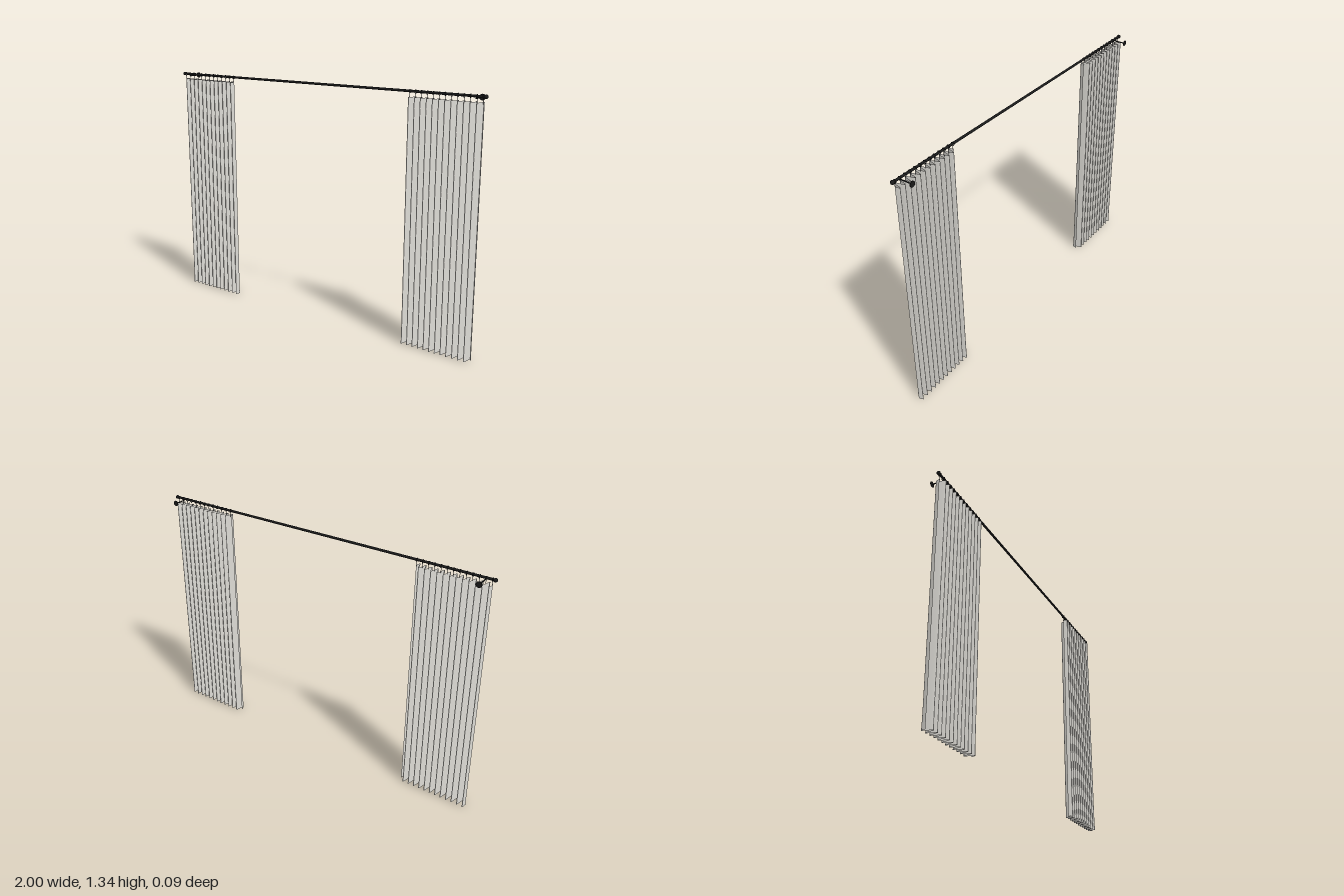
import * as THREE from 'three';

const ROD_Y = 1.325, ROD_Z = 0.021;
const INNER = 0.584, OUTER = 0.979, TOP = 1.297, FOLDS = 12;

export function createModel() {
  const fabric = new THREE.MeshStandardMaterial({ color: 0xdedcd6, side: THREE.DoubleSide });
  fabric.name = 'linen fabric';
  const metal = new THREE.MeshStandardMaterial({ color: 0x1a1a1a });
  metal.name = 'black metal';

  const model = new THREE.Group();
  model.name = 'curtains';

  function add(parent, name, geometry, material, x, y, z) {
    const mesh = new THREE.Mesh(geometry, material);
    mesh.name = name;
    mesh.position.set(x, y, z);
    parent.add(mesh);
    return mesh;
  }

  // Pleated sheet: a plane bent into a wave, flaring slightly at the hem
  function curtainGeometry(side) {
    const width = OUTER - INNER;
    const g = new THREE.PlaneGeometry(width, TOP, FOLDS * 16, 26);
    const p = g.attributes.position;
    for (let i = 0; i < p.count; i++) {
      const u = p.getX(i) / width + 0.5;
      const y = p.getY(i) + TOP / 2;
      const t = side > 0 ? u : 1 - u;
      const amp = 0.0245 + 0.0018 * Math.max(0, 1 - y / 0.06);
      p.setXYZ(i, side * (INNER + t * width), y, ROD_Z + amp * Math.sin(t * FOLDS * Math.PI * 2));
    }
    g.computeVertexNormals();
    return g;
  }

  // Rod
  const rod = new THREE.CylinderGeometry(0.0065, 0.0065, 1.97, 20).rotateZ(Math.PI / 2);
  add(model, 'rod', rod, metal, 0, ROD_Y, ROD_Z);

  const ring = new THREE.TorusGeometry(0.0085, 0.0016, 8, 20).rotateY(Math.PI / 2);
  const hook = new THREE.CylinderGeometry(0.0012, 0.0012, 0.027, 6);
  const finial = new THREE.SphereGeometry(0.0105, 20, 14);
  const arm = new THREE.CylinderGeometry(0.0032, 0.0032, 0.066, 12).rotateX(Math.PI / 2);
  const plate = new THREE.CylinderGeometry(0.0155, 0.0155, 0.004, 24).rotateX(Math.PI / 2);

  for (const side of [-1, 1]) {
    const half = new THREE.Group();
    half.name = side > 0 ? 'leftCurtain' : 'rightCurtain';
    model.add(half);

    add(half, 'curtainPanel', curtainGeometry(side), fabric, 0, 0, 0);
    add(half, 'finial', finial, metal, side * 0.9895, ROD_Y, ROD_Z);

    // Wall bracket: arm under the rod and a round wall plate
    add(half, 'bracketArm', arm, metal, side * 0.94, 1.314, -0.012);
    add(half, 'bracketPlate', plate, metal, side * 0.94, 1.314, -0.045);

    // A ring and hook for every fold
    for (let i = 0; i <= FOLDS; i++) {
      const x = side * (INNER + 0.002 + (OUTER - INNER - 0.004) * i / FOLDS);
      add(half, 'ring', ring, metal, x, ROD_Y - 0.001, ROD_Z);
      add(half, 'hook', hook, metal, x, 1.303, ROD_Z);
    }
  }
  return model;
}
